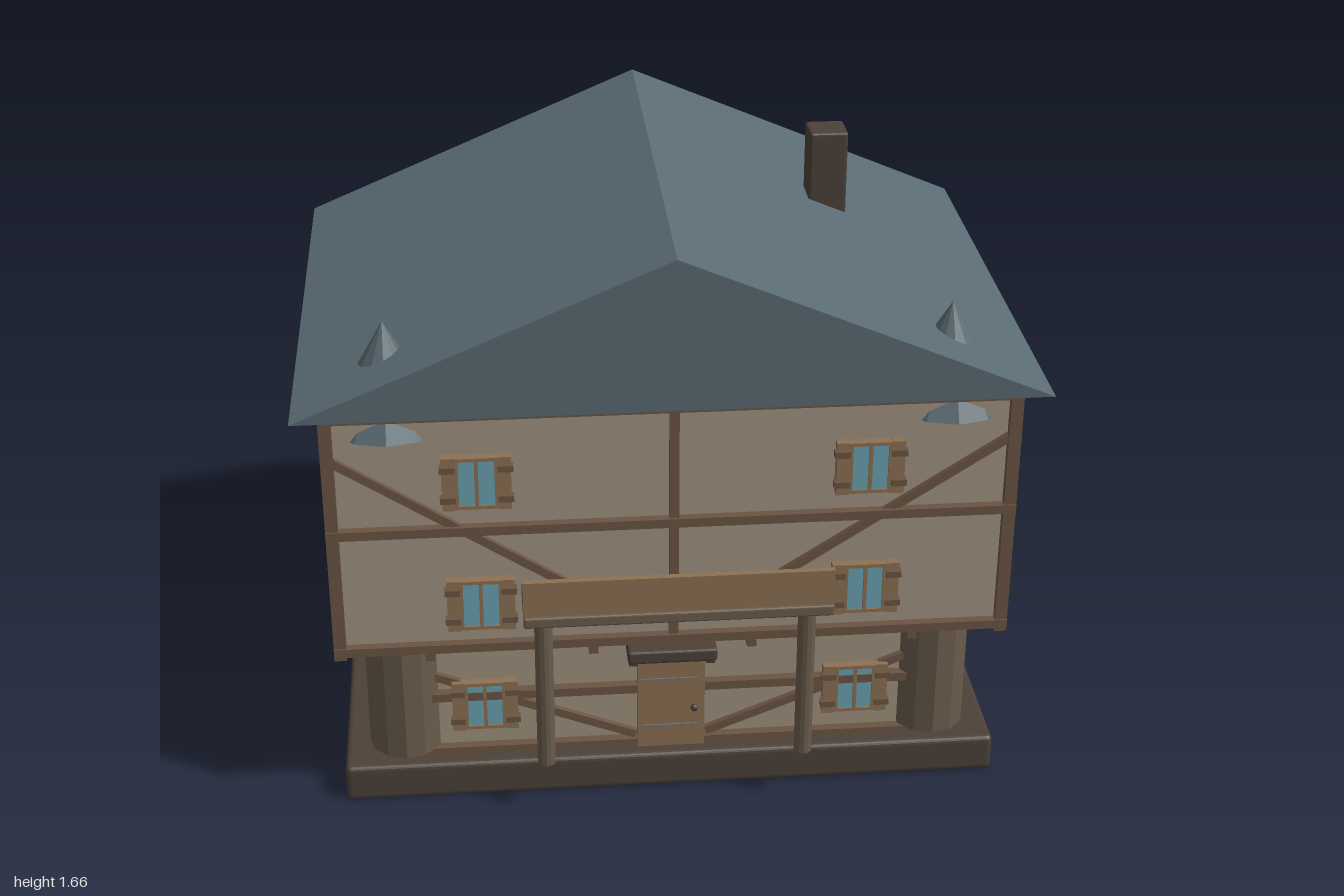
import * as THREE from 'three';
import { RoundedBoxGeometry } from 'three/addons/geometries/RoundedBoxGeometry.js';

const mat = (color) => new THREE.MeshStandardMaterial({ color, flatShading: true });
const WALL = mat(0xa09380), ROOF = mat(0x5a6b73), TIMBER = mat(0x6b5543), DARK = mat(0x4c4138);
const TAN = mat(0x8d7153), GLASS = mat(0x6aa3b3), POST = mat(0x6a5c4b), METAL = mat(0x77716b);

export function createModel() {
  const model = new THREE.Group();

  const add = (name, geometry, material, x, y, z, parent = model) => {
    const mesh = new THREE.Mesh(geometry, material);
    mesh.name = name;
    mesh.position.set(x, y, z);
    parent.add(mesh);
    return mesh;
  };
  // Box from its lower and upper limits on each axis
  const box = (name, m, x0, x1, y0, y1, z0, z1, parent = model, radius = 0) => {
    const s = [x1 - x0, y1 - y0, z1 - z0];
    const g = radius ? new RoundedBoxGeometry(...s, 2, radius) : new THREE.BoxGeometry(...s);
    return add(name, g, m, (x0 + x1) / 2, (y0 + y1) / 2, (z0 + z1) / 2, parent);
  };
  // Timber laid on a wall between two points
  const beam = (name, x0, y0, x1, y1, width, depth, z, parent) => {
    const g = new THREE.BoxGeometry(Math.hypot(x1 - x0, y1 - y0), width, depth);
    add(name, g, TIMBER, (x0 + x1) / 2, (y0 + y1) / 2, z, parent)
      .rotation.z = Math.atan2(y1 - y0, x1 - x0);
  };

  // Base and the two storey blocks
  box('base', DARK, -0.925, 0.925, 0, 0.11, -0.72, 0.61, model, 0.015);
  box('lowerWalls', WALL, -0.8, 0.8, 0.1, 0.5, -0.64, 0.535);
  box('upperWalls', WALL, -0.92, 0.92, 0.49, 1.243, -0.725, 0.62);

  // Half-timbering on front and back
  const timberFrame = (name, z, parts) => {
    const group = new THREE.Group();
    group.name = name;
    model.add(group);
    const { halfWidth, bottom, top, rails, brace } = parts;
    for (const s of [-1, 1]) {
      beam('cornerPost', s * (halfWidth - 0.017), bottom, s * (halfWidth - 0.017), top, 0.034, 0.036, z, group);
      beam('brace', s * brace[0], brace[1], s * brace[2], brace[3], 0.024, 0.024, z, group);
    }
    beam('centrePost', 0, bottom, 0, top, 0.026, 0.03, z, group);
    for (const y of rails) beam('rail', -halfWidth, y, halfWidth, y, 0.026, 0.044, z, group);
  };
  const upper = { halfWidth: 0.93, bottom: 0.49, top: 1.24, rails: [0.515, 0.88, 1.225], brace: [0.9, 1.095, 0.11, 0.58] };
  const lower = { halfWidth: 0.805, bottom: 0.11, top: 0.49, rails: [0.118, 0.3, 0.475], brace: [0.78, 0.41, 0.1, 0.14] };
  timberFrame('upperFrontFrame', 0.623, upper);
  timberFrame('upperBackFrame', -0.728, upper);
  timberFrame('lowerFrontFrame', 0.54, lower);
  timberFrame('lowerBackFrame', -0.643, lower);

  // Joist ends below the overhang
  for (const x of [-0.67, -0.22, 0.22, 0.67])
    box('joistEnd', TIMBER, x - 0.013, x + 0.013, 0.46, 0.492, 0.53, 0.615);

  // Gable roof
  const gable = new THREE.Shape([
    new THREE.Vector2(-1, 1.24), new THREE.Vector2(1, 1.24), new THREE.Vector2(0, 1.665)]);
  add('roof', new THREE.ExtrudeGeometry(gable, { depth: 1.5, bevelEnabled: false }), ROOF, 0, 0, -0.81);
  box('chimney', DARK, 0.465, 0.575, 1.3, 1.665, -0.3, -0.19, model, 0.008);

  for (const s of [-1, 1]) {
    // Corner column with its cone cap breaking through the roof
    add('cornerColumn', new THREE.CylinderGeometry(0.105, 0.105, 0.365, 12), POST, s * 0.75, 0.3125, 0.495);
    add('coneCap', new THREE.ConeGeometry(0.165, 0.285, 12), ROOF, s * 0.755, 1.2925, 0.49);
    // Balcony post
    add('balconyPost', new THREE.CylinderGeometry(0.025, 0.025, 0.515, 12), POST, s * 0.36, 0.4175, 0.69);
  }

  // Balcony
  box('balconyFloor', POST, -0.415, 0.415, 0.67, 0.702, 0.62, 0.81, model, 0.006);
  box('balconyRail', TAN, -0.415, 0.415, 0.7, 0.805, 0.782, 0.8);

  // Shuttered window, centred on its group
  const makeWindow = (x, y, z) => {
    const w = new THREE.Group();
    w.name = 'window';
    w.position.set(x, y, z);
    model.add(w);
    box('glass', GLASS, -0.058, 0.058, -0.072, 0.072, -0.01, 0.01, w);
    box('mullion', TAN, -0.005, 0.005, -0.07, 0.07, 0, 0.016, w);
    for (const s of [-1, 1]) {
      box('frameBar', TAN, -0.06, 0.06, s * 0.071 - 0.005, s * 0.071 + 0.005, -0.01, 0.016, w);
      box('frameSide', TAN, s * 0.053 - 0.005, s * 0.053 + 0.005, -0.072, 0.072, -0.01, 0.016, w);
      box('shutter', TAN, s * 0.075 - 0.017, s * 0.075 + 0.017, -0.078, 0.078, -0.01, 0.017, w);
      for (const v of [-0.045, 0.045])
        box('shutterBatten', TIMBER, s * 0.077 - 0.021, s * 0.077 + 0.021, v - 0.009, v + 0.009, 0, 0.024, w);
    }
  };
  for (const x of [-0.525, 0.525]) {
    makeWindow(x, 1.025, 0.63);
    makeWindow(x, 0.65, 0.63);
    makeWindow(x, 0.27, 0.55);
  }
  box('sideWindow', GLASS, 0.91, 0.948, 0.95, 1.097, -0.108, 0.002);

  // Door with straps, knob and lintel
  box('door', TAN, -0.095, 0.095, 0.11, 0.42, 0.52, 0.57);
  for (const y of [0.18, 0.335]) box('doorStrap', METAL, -0.085, 0.075, y - 0.004, y + 0.004, 0.56, 0.574);
  add('doorKnob', new THREE.SphereGeometry(0.011, 10, 8), DARK, 0.065, 0.24, 0.578);
  box('lintel', DARK, -0.125, 0.125, 0.415, 0.455, 0.53, 0.615, model, 0.008);
  for (const x of [-0.108, 0.108]) box('lintelBracket', DARK, x - 0.012, x + 0.012, 0.395, 0.42, 0.53, 0.59);

  return model;
}
